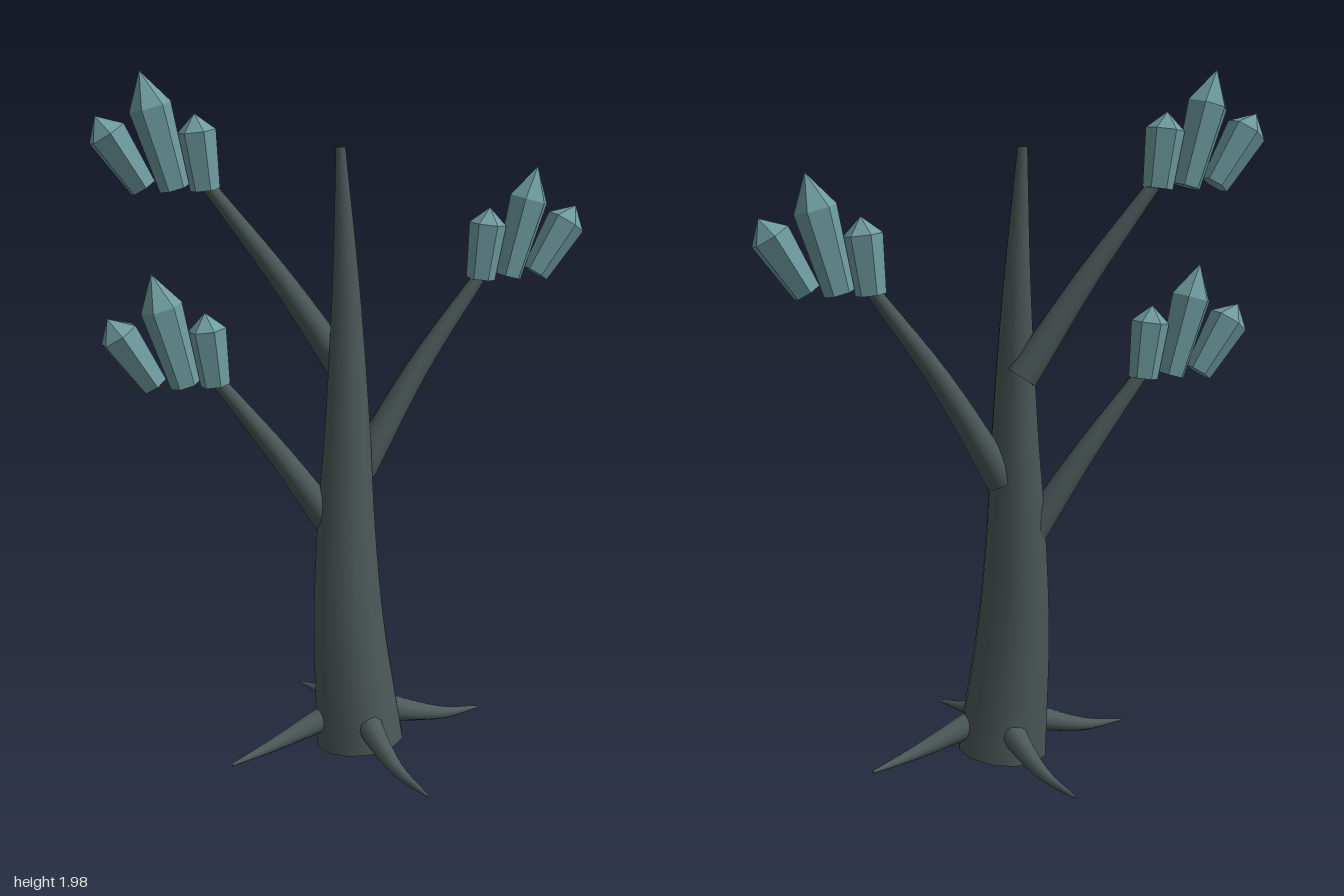
import * as THREE from 'three';
import { mergeGeometries } from 'three/addons/utils/BufferGeometryUtils.js';

const bark = new THREE.MeshStandardMaterial({ color: 0x4d5959 });
const crystalMat = new THREE.MeshStandardMaterial({ color: 0x6f9ca0, flatShading: true });

// Flat disc closing one ring of a tube
function ringCap(tube, ring, sides, centre, flip) {
  const src = tube.attributes.position;
  const pos = [centre.x, centre.y, centre.z];
  const index = [];
  for (let j = 0; j < sides; j++) {
    const k = ring * (sides + 1) + j;
    pos.push(src.getX(k), src.getY(k), src.getZ(k));
    const a = j + 1, b = ((j + 1) % sides) + 1;
    index.push(0, flip ? b : a, flip ? a : b);
  }
  const geo = new THREE.BufferGeometry();
  geo.setAttribute('position', new THREE.Float32BufferAttribute(pos, 3));
  geo.setIndex(index);
  geo.computeVertexNormals();
  return geo;
}

// Round limb along a curve, tapering from r0 to r1, closed at both ends
function limb(name, points, r0, r1, steps, sides) {
  const curve = new THREE.CatmullRomCurve3(points.map(p => new THREE.Vector3(...p)));
  const tube = new THREE.TubeGeometry(curve, steps, 1, sides);
  tube.deleteAttribute('uv');
  const pos = tube.attributes.position;
  const v = new THREE.Vector3();
  for (let i = 0; i <= steps; i++) {
    const u = i / steps, c = curve.getPointAt(u);
    for (let j = 0; j <= sides; j++) {
      const k = i * (sides + 1) + j;
      v.fromBufferAttribute(pos, k).sub(c).multiplyScalar(r0 + (r1 - r0) * u).add(c);
      pos.setXYZ(k, v.x, v.y, v.z);
    }
  }
  const start = ringCap(tube, 0, sides, curve.getPointAt(0), false);
  const end = ringCap(tube, steps, sides, curve.getPointAt(1), true);
  const mesh = new THREE.Mesh(mergeGeometries([tube, start, end]), bark);
  mesh.name = name;
  return mesh;
}

// Six-sided crystal: narrow foot, wider shoulder, pointed tip
function crystal([bx, by], [tx, ty], shoulder, rBase, rTop, turn) {
  const length = Math.hypot(tx - bx, ty - by);
  const profile = [[0, 0], [rBase, 0], [rTop, shoulder * length], [0, length]];
  const geo = new THREE.LatheGeometry(profile.map(p => new THREE.Vector2(...p)), 6);
  geo.rotateY(turn);
  const mesh = new THREE.Mesh(geo, crystalMat);
  mesh.name = 'crystal';
  mesh.position.set(bx, by, 0);
  mesh.rotation.z = -Math.atan2(tx - bx, ty - by);
  return mesh;
}

// Three crystals fanning outwards; side is +1 or -1 along x
function crystalCluster(name, side, y, z) {
  const group = new THREE.Group();
  group.name = name;
  group.add(
    crystal([side * 0.4, 0], [side * 0.425, 0.208], 0.77, 0.042, 0.054, 0.2),
    crystal([side * 0.485, 0.005], [side * 0.571, 0.323], 0.7, 0.042, 0.059, 0.5),
    crystal([side * 0.572, 0.01], [side * 0.695, 0.205], 0.76, 0.04, 0.058, 0.1)
  );
  group.position.set(0, y, z);
  return group;
}

export function createModel() {
  const model = new THREE.Group();
  model.name = 'crystalTree';

  // Gently bent trunk
  model.add(limb('trunk', [
    [0, 0.03, 0], [-0.028, 0.4, -0.02], [-0.03, 0.7, -0.04], [-0.02, 1.0, -0.06],
    [-0.015, 1.4, -0.09], [-0.025, 1.79, -0.107]
  ], 0.133, 0.014, 24, 12));

  // Branches
  model.add(limb('rightLowerBranch', [
    [-0.07, 0.7, -0.06], [-0.22, 0.92, -0.073], [-0.41, 1.17, -0.082]
  ], 0.046, 0.018, 10, 12));
  model.add(limb('rightUpperBranch', [
    [-0.02, 1.16, -0.12], [-0.2, 1.43, -0.137], [-0.41, 1.71, -0.155]
  ], 0.046, 0.018, 10, 12));
  model.add(limb('leftBranch', [
    [0.02, 0.86, -0.065], [0.2, 1.15, -0.085], [0.41, 1.43, -0.102]
  ], 0.048, 0.018, 10, 12));

  // Crystal clusters at the branch ends
  model.add(
    crystalCluster('rightLowerCrystals', -1, 1.138, -0.083),
    crystalCluster('rightUpperCrystals', -1, 1.677, -0.163),
    crystalCluster('leftCrystals', 1, 1.4, -0.108)
  );

  // Four curved roots, a quarter turn apart
  for (let i = 0; i < 4; i++) {
    const root = limb('root', [
      [0, 0.125, 0.07], [0.008, 0.097, 0.15], [0.034, 0.058, 0.28], [0.081, 0.038, 0.41]
    ], 0.042, 0.004, 12, 10);
    root.rotation.y = i * Math.PI / 2;
    model.add(root);
  }
  return model;
}
